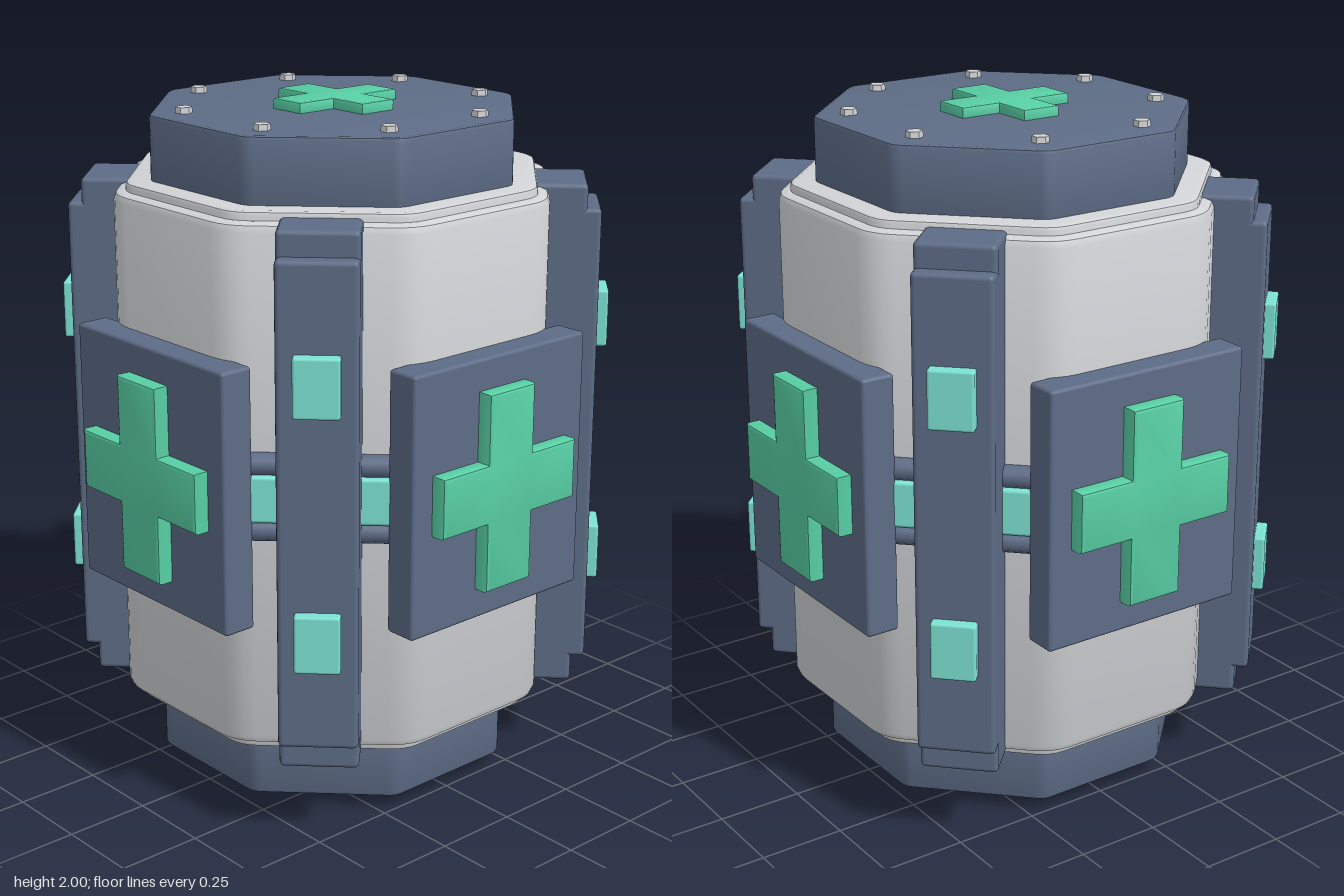
import * as THREE from 'three';
import { toCreasedNormals } from 'three/addons/utils/BufferGeometryUtils.js';
import { RoundedBoxGeometry } from 'three/addons/geometries/RoundedBoxGeometry.js';

const mat = (name, color) => new THREE.MeshStandardMaterial({ name, color });

// Octagon with flats on the axes and softened corners
function octagon(apothem, soft) {
  const s = new THREE.Shape();
  const R = apothem / Math.cos(Math.PI / 8);
  const corner = (i) => new THREE.Vector2(Math.cos((i + 0.5) * Math.PI / 4), Math.sin((i + 0.5) * Math.PI / 4)).multiplyScalar(R);
  for (let i = 0; i < 8; i++) {
    const c = corner(i);
    const a = c.clone().lerp(corner(i - 1), soft);
    const b = c.clone().lerp(corner(i + 1), soft);
    if (i === 0) s.moveTo(a.x, a.y); else s.lineTo(a.x, a.y);
    s.quadraticCurveTo(c.x, c.y, b.x, b.y);
  }
  s.closePath();
  return s;
}

// Plus sign: half width w, half height h, half arm thickness t
function plus(w, h, t) {
  return new THREE.Shape([
    [t, -h], [t, -t], [w, -t], [w, t], [t, t], [t, h],
    [-t, h], [-t, t], [-w, t], [-w, -t], [-t, -t], [-t, -h],
  ].map(([x, y]) => new THREE.Vector2(x, y)));
}

// Bevelled slab, occupying z = 0..depth
function slab(shape, depth, bevel) {
  const g = new THREE.ExtrudeGeometry(shape, {
    depth: depth - 2 * bevel, bevelThickness: bevel, bevelSize: bevel,
    bevelOffset: -bevel, bevelSegments: 2, curveSegments: 4,
  });
  g.translate(0, 0, bevel);
  return toCreasedNormals(g, 0.5);
}

// Same slab laid flat, occupying y = y0..y1
function layer(shape, y0, y1, bevel) {
  return slab(shape, y1 - y0, bevel).rotateX(-Math.PI / 2).translate(0, y0, 0);
}

export function createModel() {
  const root = new THREE.Group();
  root.name = 'medicalCanister';
  const shell = mat('light grey shell', 0xd2d4d7);
  const armour = mat('slate armour', 0x5d6c86);
  const green = mat('green cross', 0x58cfa5);
  const glow = mat('aqua light', 0x7be2d2);

  const add = (parent, name, geometry, material, x = 0, y = 0, z = 0) => {
    const m = new THREE.Mesh(geometry, material);
    m.name = name;
    m.position.set(x, y, z);
    parent.add(m);
    return m;
  };
  const box = (w, h, d, r = 0.01) => new RoundedBoxGeometry(w, h, d, 2, r);
  const mid = 1.005;

  // Shell with a stepped rim at both ends
  add(root, 'body', layer(octagon(0.61, 0.13), 0.25, 1.76, 0.025), shell);
  add(root, 'rim', layer(octagon(0.575, 0.1), 0.225, 1.785, 0.012), shell);

  // End caps with bolts and a small cross, mirrored top and bottom
  const boltGeo = new THREE.CylinderGeometry(0.023, 0.027, 0.04, 6).toNonIndexed();
  boltGeo.computeVertexNormals();
  for (const end of [1, -1]) {
    const cap = new THREE.Group();
    cap.name = end > 0 ? 'topCap' : 'bottomCap';
    cap.position.y = mid;
    if (end < 0) cap.rotation.x = Math.PI;
    add(cap, 'capBlock', layer(octagon(0.505, 0.06), 0.7, 0.965, 0.01), armour);
    const height = end > 0 ? 0.995 : 1.005;
    add(cap, 'capCross', layer(plus(0.18, 0.18, 0.058), 0.95, height, 0.007), green);
    for (let i = 0; i < 8; i++) {
      const a = (i + 0.5) * Math.PI / 4;
      add(cap, 'bolt', boltGeo, shell, Math.cos(a) * 0.444, 0.962, Math.sin(a) * 0.444);
    }
    root.add(cap);
  }

  // Panels with crosses on the four main faces
  const panelGeo = box(0.655, 0.755, 0.1);
  const crossGeo = slab(plus(0.257, 0.287, 0.087), 0.06, 0.01);
  // Pillars and side bands on the four diagonal faces
  const pillarGeo = box(0.222, 1.38, 0.2, 0.014);
  const footGeo = box(0.222, 1.53, 0.16, 0.014);
  const lightGeo = box(0.127, 0.168, 0.06, 0.008);
  const bandGeo = box(0.46, 0.135, 0.07);
  const railGeo = new THREE.CylinderGeometry(0.032, 0.032, 0.46, 10).rotateZ(Math.PI / 2);

  for (let i = 0; i < 4; i++) {
    const face = new THREE.Group();
    face.name = 'crossFace';
    face.rotation.y = i * Math.PI / 2;
    add(face, 'panel', panelGeo, armour, 0, mid, 0.635);
    add(face, 'panelCross', crossGeo, green, 0, mid, 0.67);
    root.add(face);

    const side = new THREE.Group();
    side.name = 'pillarFace';
    side.rotation.y = (i + 0.5) * Math.PI / 2;
    add(side, 'pillar', pillarGeo, armour, 0, mid + 0.005, 0.66);
    add(side, 'pillarEnds', footGeo, armour, 0, mid, 0.64);
    add(side, 'band', bandGeo, glow, 0, mid, 0.615);
    for (const s of [1, -1]) {
      add(side, 'pillarLight', lightGeo, glow, 0, mid + s * 0.362, 0.762);
      add(side, 'bandRail', railGeo, armour, 0, mid + s * 0.095, 0.618);
    }
    root.add(side);
  }
  return root;
}
